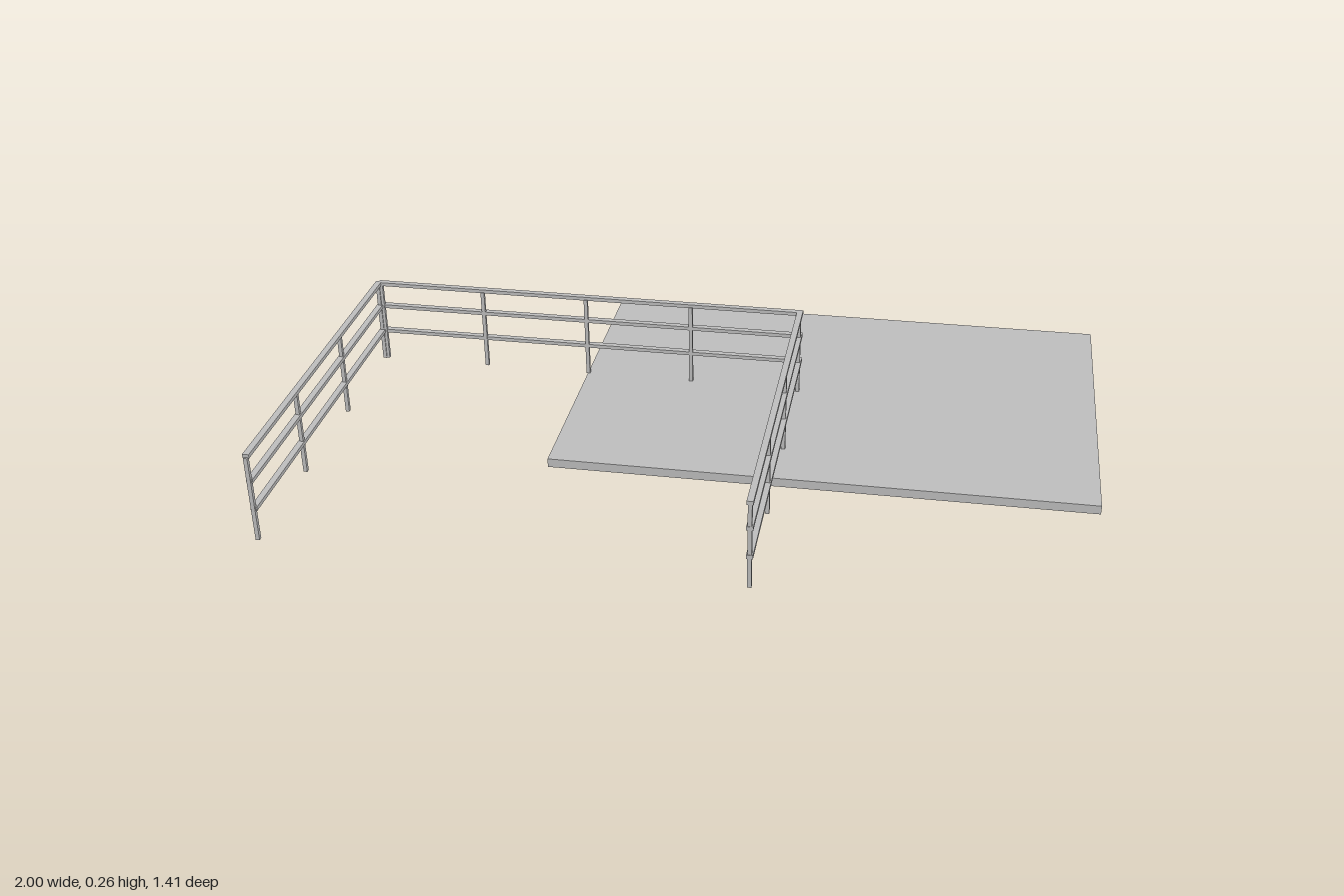
import * as THREE from 'three';

const RAIL_HEIGHTS = [0.11, 0.187, 0.255];
const POST_BASE = 0.025, POST_TOP = 0.252;

export function createModel() {
  const model = new THREE.Group();
  model.name = 'platformWithRailing';
  const grey = new THREE.MeshStandardMaterial({ color: 0xc0c0c0 });
  grey.name = 'light grey';

  // Box given by its minimum and maximum corners
  function box(name, min, max, parent) {
    const size = max.map((v, i) => v - min[i]);
    const mesh = new THREE.Mesh(new THREE.BoxGeometry(...size), grey);
    mesh.position.set(...max.map((v, i) => (v + min[i]) / 2));
    mesh.name = name;
    parent.add(mesh);
  }

  function post(x, z, parent) {
    const h = 0.005;
    box('post', [x - h, POST_BASE, z - h], [x + h, POST_TOP, z + h], parent);
  }

  // Floor slab
  box('floorSlab', [-0.4, 0, -0.705], [1, 0.024, 0.227], model);

  // Side railings: three rails and four evenly spaced posts each
  const sides = [
    { name: 'rightRailing', x: -0.991, first: -0.24, last: 0.693, end: 0.693 },
    { name: 'leftRailing', x: 0.192, first: -0.231, last: 0.698, end: 0.704 },
  ];
  for (const s of sides) {
    const railing = new THREE.Group();
    railing.name = s.name;
    for (const y of RAIL_HEIGHTS) {
      box('rail', [s.x - 0.008, y - 0.005, -0.25], [s.x + 0.008, y + 0.005, s.end], railing);
    }
    for (let i = 0; i < 4; i++) {
      post(s.x, s.first + (s.last - s.first) * i / 3, railing);
    }
    model.add(railing);
  }

  // Back railing: three rails and five posts
  const back = new THREE.Group();
  back.name = 'backRailing';
  for (const y of RAIL_HEIGHTS) {
    box('rail', [-0.99, y - 0.005, -0.256], [0.2, y + 0.005, -0.24], back);
  }
  for (let i = 0; i < 5; i++) post(-0.983 + 0.2922 * i, -0.243, back);
  model.add(back);

  return model;
}
